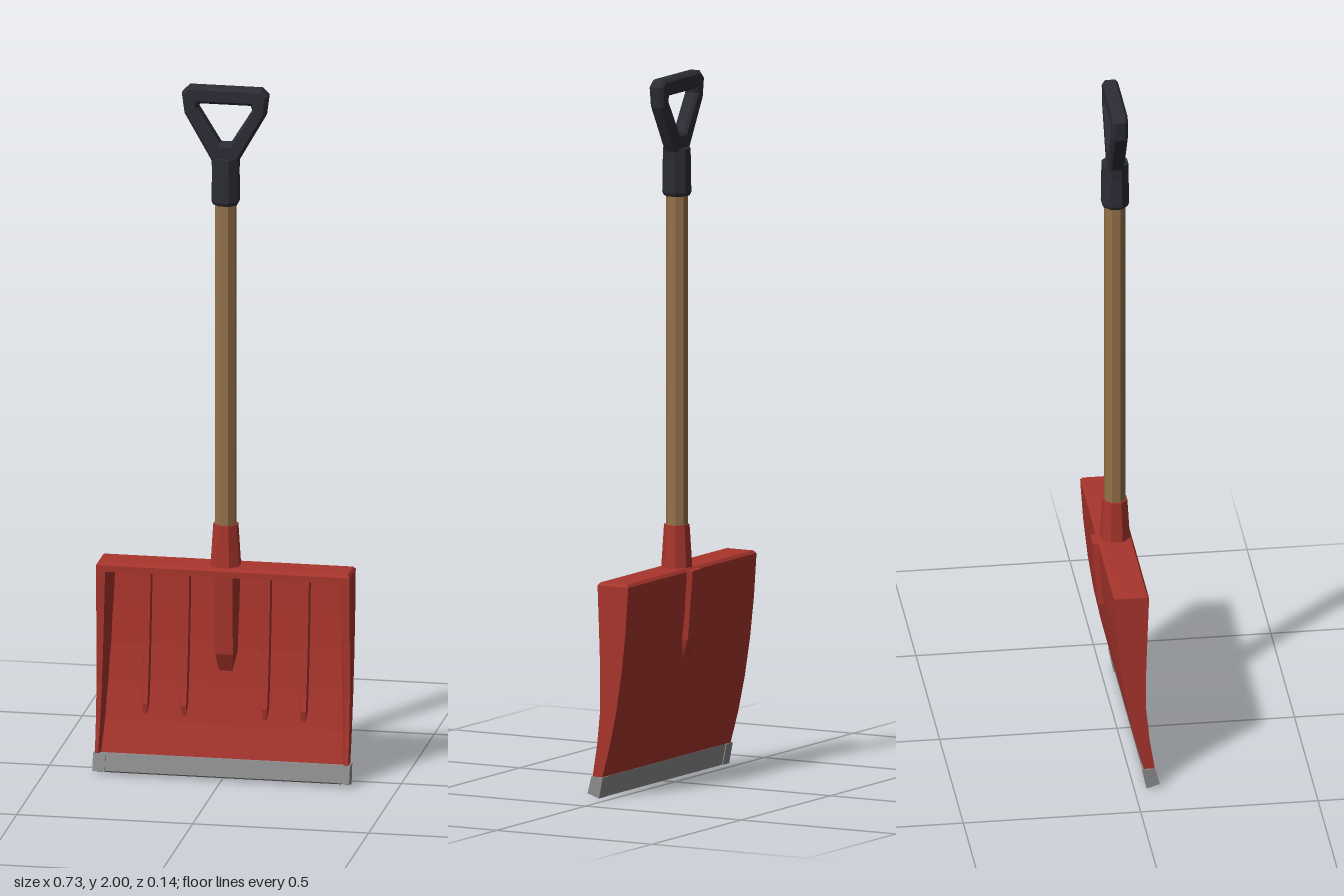
import * as THREE from 'three';

const mat = (name, color) => {
  const m = new THREE.MeshStandardMaterial({ color, flatShading: true });
  m.name = name;
  return m;
};

// Height, back surface z and side-wall front z of the curved blade
const PROFILE = [
  [0.05, 0.03, 0.06], [0.15, 0.003, 0.044], [0.25, -0.018, 0.034],
  [0.36, -0.035, 0.034], [0.48, -0.048, 0.038], [0.585, -0.055, 0.042],
];
const PLATE = 0.018;
const SHAFT_Z = -0.006;

function at(y, k) {
  for (let i = 1; i < PROFILE.length; i++) {
    const a = PROFILE[i - 1], b = PROFILE[i];
    if (y <= b[0]) return THREE.MathUtils.lerp(a[k], b[k], (y - a[0]) / (b[0] - a[0]));
  }
  return PROFILE[PROFILE.length - 1][k];
}
const backZ = (y) => at(y, 1);
const plateZ = (y) => at(y, 1) + PLATE;

// Four-cornered ring: separate x ranges for its front and back edges
const ring = (y, zb, zf, xb0, xb1, xf0 = xb0, xf1 = xb1) =>
  [[xf1, y, zf], [xb1, y, zb], [xb0, y, zb], [xf0, y, zf]];

// Closed skin through convex rings listed from bottom to top
function loft(rings) {
  const pos = [];
  const tri = (a, b, c) => pos.push(...a, ...b, ...c);
  const n = rings[0].length;
  for (let r = 0; r < rings.length - 1; r++) {
    const lo = rings[r], hi = rings[r + 1];
    for (let i = 0; i < n; i++) {
      const j = (i + 1) % n;
      tri(lo[i], lo[j], hi[j]);
      tri(lo[i], hi[j], hi[i]);
    }
  }
  const bottom = rings[0], top = rings[rings.length - 1];
  for (let i = 1; i < n - 1; i++) {
    tri(bottom[0], bottom[i + 1], bottom[i]);
    tri(top[0], top[i], top[i + 1]);
  }
  const g = new THREE.BufferGeometry();
  g.setAttribute('position', new THREE.Float32BufferAttribute(pos, 3));
  g.computeVertexNormals();
  return g;
}

export function createModel() {
  const red = mat('red plastic', 0xa8352c);
  const wood = mat('wood', 0x94714a);
  const steel = mat('steel', 0x8c8c8e);
  const dark = mat('dark grip', 0x2c2c35);

  const group = new THREE.Group();
  group.name = 'snowShovel';
  const add = (name, geometry, material) => {
    const m = new THREE.Mesh(geometry, material);
    m.name = name;
    group.add(m);
    return m;
  };
  // Eight-sided tube with flats facing front and sides
  const octagon = (name, rTop, rBottom, y0, y1, material) => {
    const g = new THREE.CylinderGeometry(rTop, rBottom, y1 - y0, 8);
    g.rotateY(Math.PI / 8);
    g.translate(0, (y0 + y1) / 2, SHAFT_Z);
    return add(name, g, material);
  };

  // Curved blade plate
  add('bladePlate', loft(PROFILE.map(([y, zb]) => ring(y, zb, zb + PLATE, -0.35, 0.35))), red);

  // Side walls, thicker towards the top
  for (const s of [-1, 1]) {
    const rings = PROFILE.map(([y, zb, zf]) => {
      const t = (y - 0.05) / 0.535;
      const inner = 0.343 - 0.017 * t, outer = 0.36;
      return s > 0
        ? ring(y, zb, zf, inner - 0.01, outer, inner + 0.008, outer)
        : ring(y, zb, zf, -outer, 0.01 - inner, -outer, -inner - 0.008);
    });
    add(s > 0 ? 'leftWall' : 'rightWall', loft(rings), red);
  }

  // Top wall with chamfered edges
  add('topWall', loft([
    ring(0.566, -0.054, -0.036, -0.36, 0.36),
    ring(0.584, -0.055, 0.042, -0.36, 0.36),
    ring(0.602, -0.056, 0.042, -0.36, 0.36),
    ring(0.61, -0.049, 0.036, -0.354, 0.354),
  ]), red);

  // Stiffening ribs on the front
  for (const x of [-0.225, -0.115, 0.115, 0.225]) {
    const rings = [0.17, 0.2, 0.25, 0.36, 0.48, 0.575].map((y, i) => {
      const w = i ? 0.014 : 0.009, rise = i ? 0.012 : 0.001;
      return ring(y, backZ(y) + 0.008, plateZ(y) + rise, x - w, x + w, x - w * 0.55, x + w * 0.55);
    });
    add('rib', loft(rings), red);
  }

  // Socket bulge on both faces of the blade
  add('frontBulge', loft([
    ring(0.3, -0.02, plateZ(0.3) + 0.001, -0.024, 0.024, -0.018, 0.018),
    ring(0.355, -0.03, 0.02, -0.034, 0.034, -0.025, 0.025),
    ring(0.59, -0.045, 0.03, -0.037, 0.037, -0.025, 0.025),
  ]), red);
  add('backBulge', loft([
    ring(0.35, backZ(0.35) - 0.001, -0.025, -0.014, 0.014, -0.02, 0.02),
    ring(0.41, -0.056, -0.03, -0.025, 0.025, -0.034, 0.034),
    ring(0.605, -0.072, -0.045, -0.025, 0.025, -0.036, 0.036),
  ]), red);
  octagon('socket', 0.036, 0.045, 0.59, 0.73, red);

  // Steel wear strip: slanted section with deeper ends
  const strip = (name, x0, x1, zb, zf) => {
    const rings = [
      ring(0, zb, zf, x0, x1),
      ring(0.06, zb - 0.012, zf - 0.012, x0, x1),
    ];
    rings[0][0][1] = rings[0][3][1] = 0.012;
    add(name, loft(rings), steel);
  };
  strip('wearStrip', -0.335, 0.335, 0.038, 0.068);
  strip('wearStripLeftEnd', 0.33, 0.365, 0.035, 0.072);
  strip('wearStripRightEnd', -0.365, -0.33, 0.035, 0.072);

  // Shaft and grip collar
  octagon('shaft', 0.031, 0.031, 0.6, 1.68, wood);
  octagon('gripCollar', 0.039, 0.041, 1.67, 1.795, dark);
  octagon('gripCollarLip', 0.041, 0.036, 1.66, 1.67, dark);

  // D-shaped grip with bevelled edges
  const b = 0.008;
  const half = [[0.028, 1.74], [0.03, 1.79], [0.107, 1.925], [0.114, 1.978], [0.1, 1.992]];
  const mirrored = (pts) => [...pts, ...pts.slice().reverse().map(([x, y]) => [-x, y])]
    .map(([x, y]) => new THREE.Vector2(x, y));
  const shape = new THREE.Shape(mirrored(half));
  shape.holes.push(new THREE.Path(mirrored([[0.019, 1.83], [0.086, 1.938], [0.08, 1.96]])));
  const grip = new THREE.ExtrudeGeometry(shape, {
    depth: 0.028, bevelEnabled: true, bevelSize: b, bevelThickness: b, bevelSegments: 1,
  });
  grip.translate(0, 0, SHAFT_Z - 0.014);
  add('grip', grip, dark);

  return group;
}
